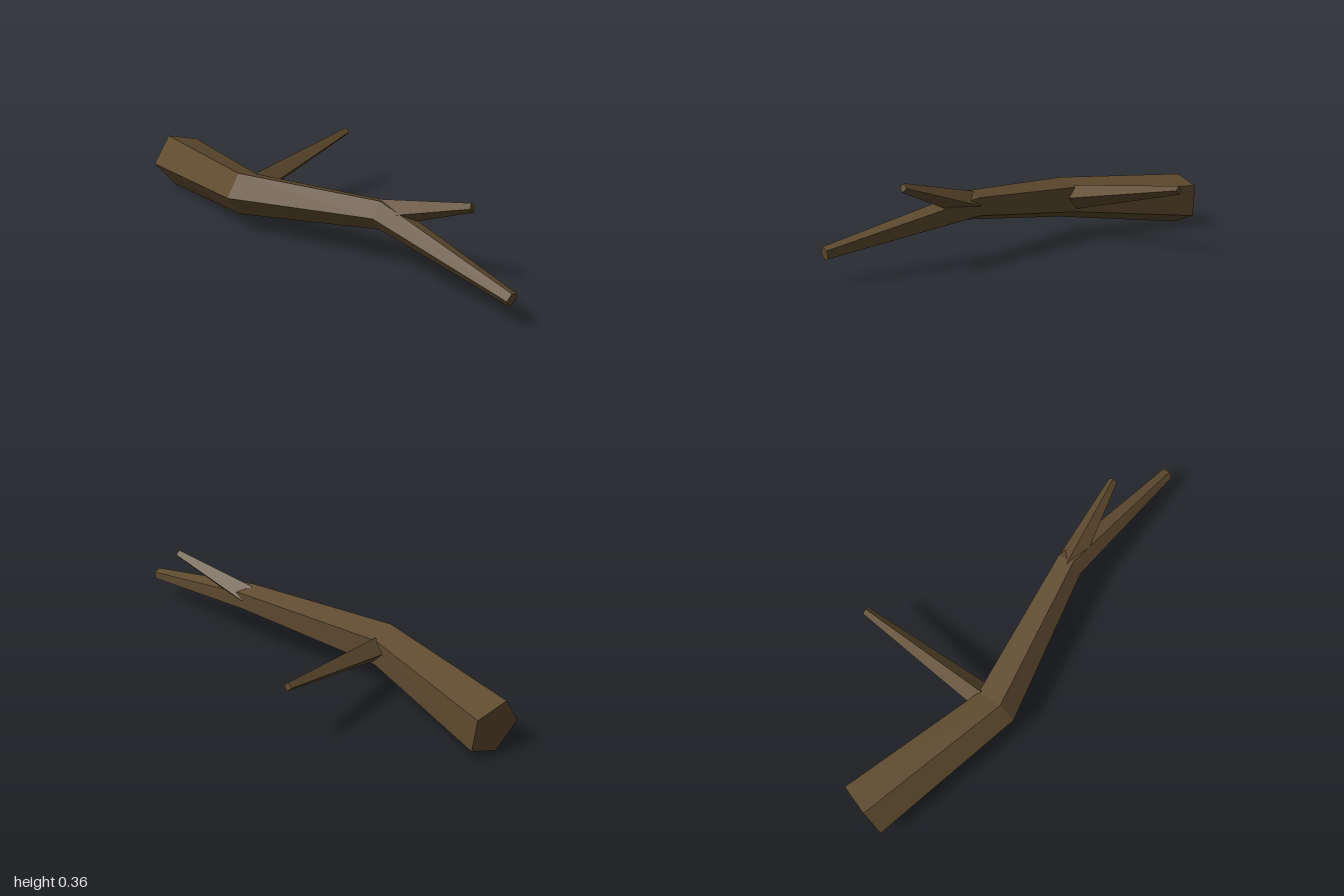
import * as THREE from 'three';

const bark = new THREE.MeshStandardMaterial({ color: 0x5e4a2e });
bark.name = 'bark brown';

// Tapered limb lofted through polygon rings: { c: centre, n: ring normal, r: radius }.
// The first corner of each ring points along "up", made square to the normal.
function limb(name, sides, up, rings) {
  const loops = rings.map(({ c, n, r }) => {
    const normal = new THREE.Vector3(...n).normalize();
    const u = new THREE.Vector3(...up);
    u.addScaledVector(normal, -u.dot(normal)).normalize();
    const v = normal.clone().cross(u);
    return Array.from({ length: sides }, (_, i) => {
      const a = (i / sides) * Math.PI * 2;
      return new THREE.Vector3(...c)
        .addScaledVector(u, r * Math.cos(a))
        .addScaledVector(v, r * Math.sin(a));
    });
  });
  const points = [];
  // Side faces
  for (let k = 0; k < loops.length - 1; k++) {
    for (let i = 0; i < sides; i++) {
      const j = (i + 1) % sides;
      const [a, b, c, d] = [loops[k][i], loops[k][j], loops[k + 1][j], loops[k + 1][i]];
      points.push(a, b, c, a, c, d);
    }
  }
  // End caps
  const first = loops[0];
  const last = loops[loops.length - 1];
  for (let i = 1; i < sides - 1; i++) {
    points.push(first[0], first[i + 1], first[i], last[0], last[i], last[i + 1]);
  }
  const geometry = new THREE.BufferGeometry().setFromPoints(points);
  geometry.computeVertexNormals(); // unshared corners give flat facets
  const mesh = new THREE.Mesh(geometry, bark);
  mesh.name = name;
  return mesh;
}

export function createModel() {
  const group = new THREE.Group();
  group.name = 'fallenBranch';

  // Five-sided main stem with two bends
  group.add(limb('mainStem', 5, [0, 0, 1], [
    { c: [-0.967, 0.118, 0.083], n: [0.645, 0.058, 0.194], r: 0.123 },
    { c: [-0.335, 0.175, 0.279], n: [1, 0, 0], r: 0.096 },
    { c: [0.335, 0.23, 0.187], n: [1, 0, 0], r: 0.063 },
    { c: [0.992, 0.117, 0.28], n: [0.655, -0.113, 0.093], r: 0.028 },
  ]));

  // Four-sided side twigs
  const twig = (name, up, from, to, r0, r1) => {
    const n = to.map((t, i) => t - from[i]);
    group.add(limb(name, 4, up, [{ c: from, n, r: r0 }, { c: to, n, r: r1 }]));
  };
  twig('backTwig', [1, 0, 0], [-0.328, 0.187, 0.202], [-0.328, 0.275, -0.371], 0.054, 0.018);
  twig('forkTwig', [0, 0, 1], [0.335, 0.235, 0.187], [0.72, 0.348, 0.146], 0.055, 0.018);

  return group;
}
